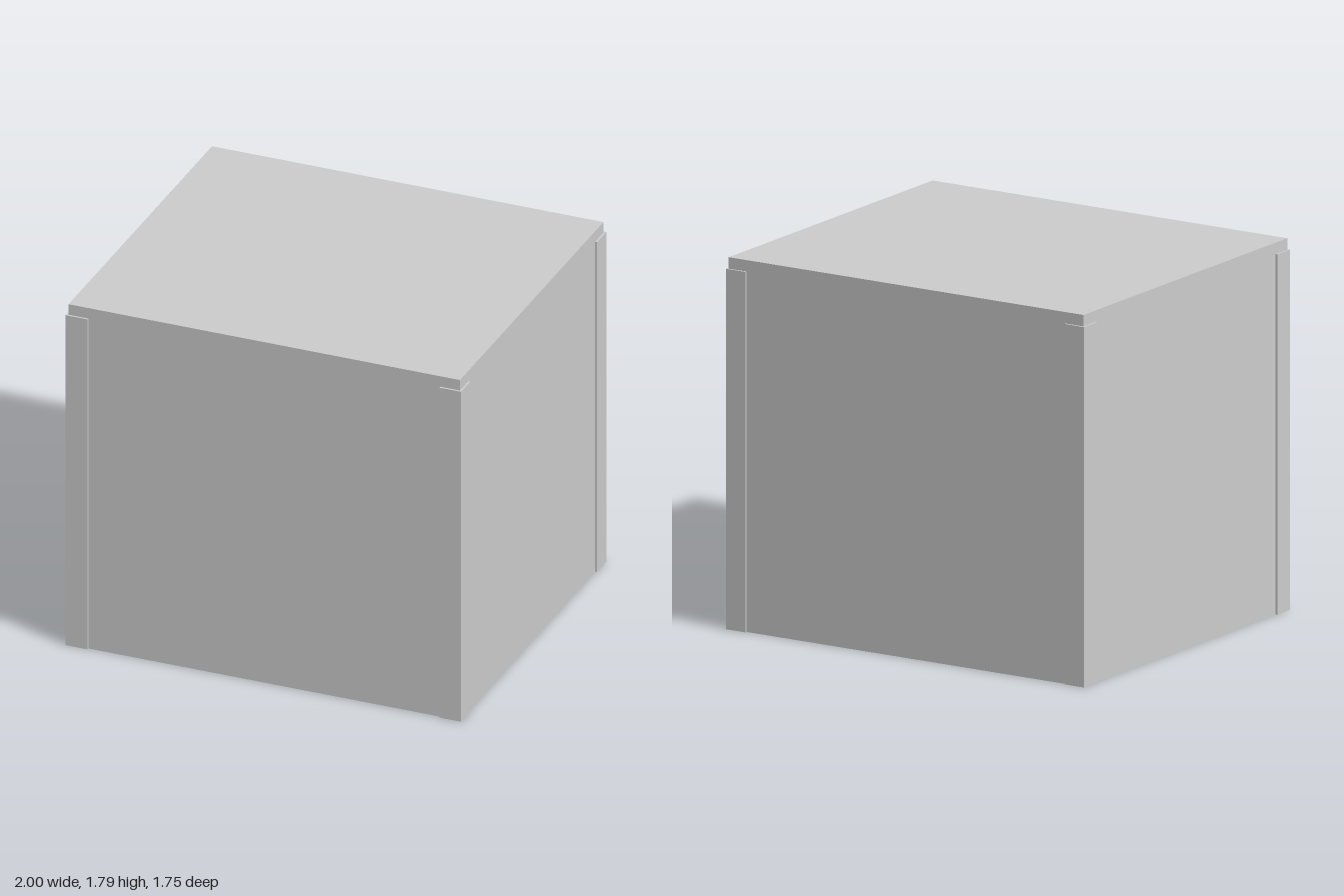
import * as THREE from 'three';

const W = 0.99, D = 0.865;   // half width and half depth of the shell
const TOP = 1.79, WALL = 0.055; // full height, panel thickness
const PROUD = 0.01, POST = 0.11; // corner posts stand slightly outside the panels

export function createModel() {
  const model = new THREE.Group();
  model.name = 'openBottomBox';
  const grey = new THREE.MeshStandardMaterial({ color: 0xcccccc });
  grey.name = 'light grey';

  const addBox = (name, w, h, d, x, y, z) => {
    const mesh = new THREE.Mesh(new THREE.BoxGeometry(w, h, d), grey);
    mesh.name = name;
    mesh.position.set(x, y, z);
    model.add(mesh);
  };

  const h = TOP - WALL;

  // Lid slab resting on the walls and posts
  addBox('lid', 2 * W, WALL, 2 * D, 0, h + WALL / 2, 0);

  // Wall panels spanning between the corner posts
  const spanX = 2 * (W + PROUD - POST), spanZ = 2 * (D + PROUD - POST);
  for (const s of [1, -1]) {
    addBox(s > 0 ? 'frontPanel' : 'backPanel', spanX, h, WALL, 0, h / 2, s * (D - WALL / 2));
    addBox(s > 0 ? 'leftPanel' : 'rightPanel', WALL, h, spanZ, s * (W - WALL / 2), h / 2, 0);
  }

  // Square corner posts, visible inside and outside
  for (const sx of [1, -1]) for (const sz of [1, -1]) {
    const name = (sz > 0 ? 'front' : 'back') + (sx > 0 ? 'Left' : 'Right') + 'Post';
    addBox(name, POST, h, POST, sx * (W + PROUD - POST / 2), h / 2, sz * (D + PROUD - POST / 2));
  }

  return model;
}
